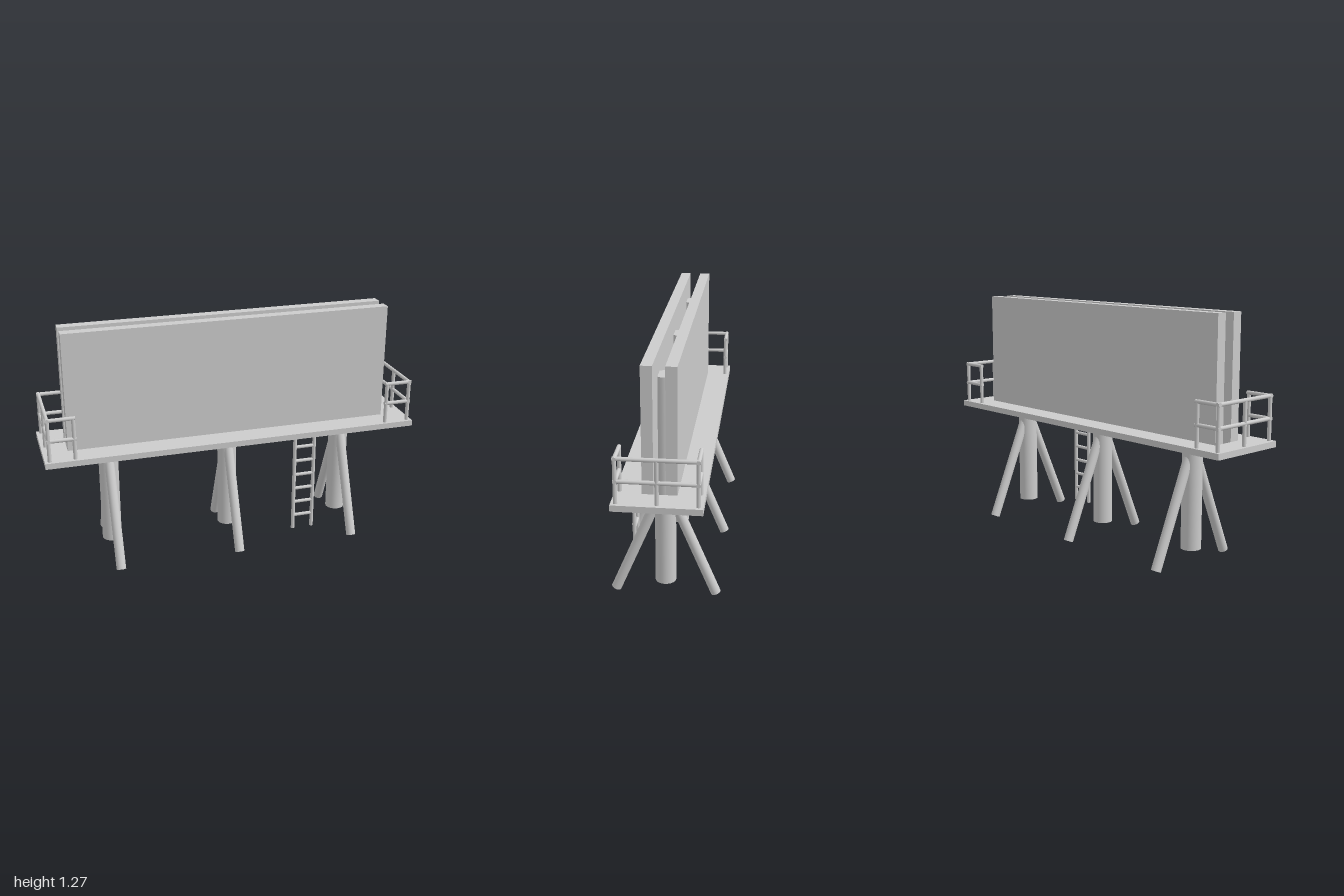
import * as THREE from 'three';

const material = new THREE.MeshStandardMaterial({ color: 0xcccccc });

function add(parent, name, geometry, x = 0, y = 0, z = 0) {
  const mesh = new THREE.Mesh(geometry, material);
  mesh.name = name;
  mesh.position.set(x, y, z);
  parent.add(mesh);
  return mesh;
}

// Round bar between two points
function bar(parent, name, a, b, radius, sides = 16) {
  const start = new THREE.Vector3(...a), end = new THREE.Vector3(...b);
  const dir = end.clone().sub(start);
  const mesh = add(parent, name, new THREE.CylinderGeometry(radius, radius, dir.length(), sides));
  mesh.position.copy(start).add(end).multiplyScalar(0.5);
  mesh.quaternion.setFromUnitVectors(new THREE.Vector3(0, 1, 0), dir.normalize());
  return mesh;
}

function group(parent, name) {
  const g = new THREE.Group();
  g.name = name;
  parent.add(g);
  return g;
}

function rectangle(Type, w, h) {
  return new Type([[-w, -h], [w, -h], [w, h], [-w, h]].map(([x, y]) => new THREE.Vector2(x, y)));
}

export function createModel() {
  const model = new THREE.Group();
  model.name = 'billboard';
  const deckBottom = 0.617, deckTop = 0.648;

  // Platform with a long slot between the two panels
  const outline = rectangle(THREE.Shape, 1, 0.212);
  outline.holes.push(rectangle(THREE.Path, 0.87, 0.029));
  const deck = new THREE.ExtrudeGeometry(outline, { depth: deckTop - deckBottom, bevelEnabled: false });
  deck.rotateX(-Math.PI / 2);
  add(model, 'platform', deck, 0, deckBottom, 0);

  // Back-to-back display panels
  for (const s of [1, -1]) {
    add(model, s > 0 ? 'frontPanel' : 'backPanel',
      new THREE.BoxGeometry(1.74, 1.27 - deckTop, 0.054), 0, (1.27 + deckTop) / 2, s * 0.056);
  }

  // Columns rising between the panels, each with two slanted braces
  for (const x of [-0.653, 0, 0.653]) {
    const support = group(model, 'support');
    bar(support, 'column', [x, 0.073, 0], [x, 1.16, 0], 0.052, 32);
    for (const s of [1, -1]) {
      bar(support, 'brace', [x, 0.01, s * 0.252], [x, 0.56, s * 0.021], 0.0255, 24);
    }
  }

  // Guard rails wrapping both ends of the platform
  const outer = 0.975, inner = 0.846, side = 0.189, r = 0.01;
  for (const s of [1, -1]) {
    const rail = group(model, s > 0 ? 'leftRailing' : 'rightRailing');
    const posts = [[outer, 0], [outer, side], [outer, -side], [inner, side], [inner, -side]];
    for (const [x, z] of posts) {
      bar(rail, 'post', [s * x, deckTop - 0.01, z], [s * x, 0.868, z], r);
    }
    for (const y of [0.757, 0.868]) {
      bar(rail, 'endRail', [s * outer, y, -side - r], [s * outer, y, side + r], r);
      for (const z of [side, -side]) {
        bar(rail, 'sideRail', [s * (outer + r), y, z], [s * (inner - r), y, z], r);
      }
    }
  }

  // Access ladder under the front edge
  const ladder = group(model, 'ladder');
  const ladderX = [0.326, 0.435], ladderZ = 0.19;
  for (const x of ladderX) {
    bar(ladder, 'ladderRail', [x, 0.073, ladderZ], [x, deckBottom + 0.005, ladderZ], 0.01);
  }
  for (let i = 0; i < 6; i++) {
    const y = 0.152 + i * 0.082;
    bar(ladder, 'rung', [ladderX[0], y, ladderZ], [ladderX[1], y, ladderZ], 0.009);
  }

  return model;
}
